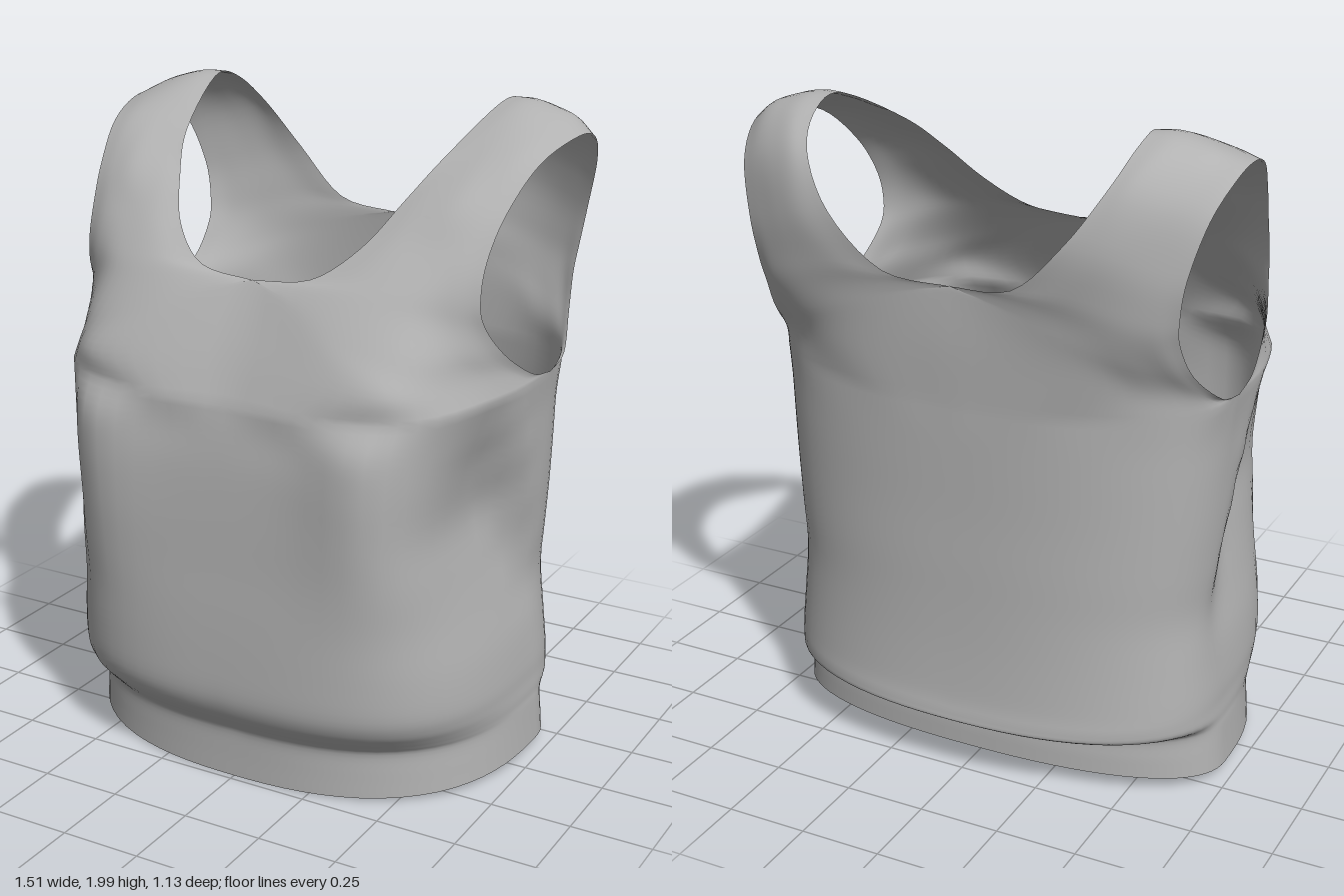
import * as THREE from 'three';
import { mergeGeometries, mergeVertices } from 'three/addons/utils/BufferGeometryUtils.js';

const M = 20; // columns per quarter of the garment
const V = (x, y, z) => new THREE.Vector3(x, y, z);
const spline = (pts) => new THREE.CatmullRomCurve3(pts, false, 'catmullrom', 0.5);

// Body rings: y front, y side, y back, half width, z front, z back, squareness front, back
const rings = [
  [0, 0.028, 0.055, 0.72, 0.48, -0.455, 2.6, 2.2],
  [0.08, 0.09, 0.11, 0.715, 0.48, -0.455, 2.6, 2.2],
  [0.15, 0.155, 0.165, 0.71, 0.483, -0.455, 2.6, 2.2],
  [0.18, 0.18, 0.178, 0.707, 0.5, -0.48, 2.7, 2.3],
  [0.21, 0.205, 0.195, 0.706, 0.525, -0.555, 2.8, 2.4],
  [0.25, 0.24, 0.22, 0.703, 0.55, -0.56, 3, 2.5],
  [0.31, 0.3, 0.28, 0.7, 0.565, -0.55, 3.2, 2.55],
  [0.42, 0.42, 0.42, 0.688, 0.565, -0.54, 3.4, 2.55],
  [0.56, 0.56, 0.56, 0.675, 0.56, -0.535, 3.6, 2.55],
  [0.7, 0.7, 0.7, 0.684, 0.552, -0.533, 3.8, 2.55],
  [0.85, 0.85, 0.85, 0.694, 0.545, -0.53, 3.8, 2.55],
  [1.0, 1.0, 1.0, 0.7, 0.535, -0.53, 3.7, 2.55],
  [1.11, 1.12, 1.11, 0.704, 0.521, -0.53, 3.5, 2.55],
  [1.19, 1.225, 1.2, 0.715, 0.505, -0.53, 3.4, 2.55],
];

// Point on a body ring; angle 0 is the front centre, PI the back centre
function ringPoint([yf, ys, yb, a, zf, zb, nf, nb], angle) {
  const s = Math.abs(Math.sin(angle)), c = Math.cos(angle), cz = -0.15;
  const n = c > 0 ? nf : nb;
  const r = Math.pow(Math.pow(s, n) + Math.pow(Math.abs(c), n), -1 / n);
  let x = a * s * r;
  let z = cz + (c > 0 ? zf - cz : cz - zb) * c * r;
  const y = ys + ((c > 0 ? yf : yb) - ys) * c * c;
  // chest fullness, fading down the front corners
  const rise = Math.min(0, y - 1.19) / 0.46;
  const full = 0.067 * Math.exp(-rise * rise - ((x - 0.47) / 0.17) ** 2);
  z += full * THREE.MathUtils.smoothstep(c, 0, 0.5);
  // slanting hollow fold under the arm
  const zc = 0.07 + (y - 0.95) * 0.45;
  x -= 0.105 * Math.exp(-(((y - 0.88) / 0.27) ** 2)) *
    THREE.MathUtils.smoothstep(z, zc - 0.16, zc + 0.06) * Math.pow(x / a, 6);
  return V(x, y, z);
}

// Shoulder rows, each from armhole edge to neck edge (or centre line)
const frontRows = [
  [.71, 1.25, -.03, .67, 1.28, .17, .555, 1.28, .42, .38, 1.29, .492, 0, 1.34, .437],
  [.688, 1.345, .125, .625, 1.36, .265, .51, 1.37, .405, .3, 1.41, .432, 0, 1.505, .352],
  [.66, 1.45, .21, .59, 1.46, .28, .47, 1.48, .355, .27, 1.51, .37, 0, 1.518, .34],
  [.655, 1.54, .22, .585, 1.55, .265, .48, 1.55, .31, .34, 1.56, .325, .18, 1.54, .325],
  [.66, 1.64, .185, .59, 1.65, .215, .5, 1.65, .235, .4, 1.65, .245, .3, 1.63, .25],
  [.68, 1.75, .11, .615, 1.76, .13, .54, 1.77, .14, .45, 1.77, .13, .375, 1.75, .135],
  [.715, 1.86, -.02, .65, 1.88, -.02, .58, 1.89, -.03, .51, 1.885, -.03, .435, 1.86, 0],
  [.75, 1.91, -.2, .68, 1.945, -.22, .61, 1.97, -.23, .55, 1.982, -.24, .49, 1.98, -.25],
];
const backRows = [
  [.75, 1.89, -.33, .69, 1.935, -.35, .62, 1.955, -.37, .56, 1.967, -.38, .495, 1.965, -.385],
  [.72, 1.8, -.435, .66, 1.83, -.46, .59, 1.85, -.485, .52, 1.87, -.5, .46, 1.87, -.5],
  [.68, 1.65, -.48, .62, 1.67, -.505, .54, 1.69, -.535, .46, 1.71, -.555, .36, 1.72, -.56],
  [.66, 1.53, -.475, .595, 1.545, -.51, .49, 1.56, -.54, .36, 1.58, -.556, .2, 1.572, -.548],
  [.655, 1.45, -.45, .59, 1.46, -.495, .47, 1.48, -.53, .28, 1.515, -.542, 0, 1.548, -.525],
  [.672, 1.345, -.385, .61, 1.37, -.445, .49, 1.4, -.505, .31, 1.45, -.535, 0, 1.535, -.527],
  [.71, 1.25, -.265, .65, 1.285, -.365, .53, 1.3, -.455, .34, 1.33, -.52, 0, 1.38, -.533],
];

// Surface through columns of points, sampled in equal steps; sign mirrors it
function sheet(columns, steps, sign) {
  const pos = [], idx = [], w = steps + 1;
  for (const col of columns) {
    const curve = spline(col);
    for (let i = 0; i <= steps; i++) {
      const p = curve.getPoint(i / steps);
      pos.push(sign * Math.max(0, p.x), p.y, p.z);
    }
  }
  for (let j = 0; j < columns.length - 1; j++) {
    for (let i = 0; i < steps; i++) {
      const a = j * w + i, b = a + w;
      if (sign > 0) idx.push(a, b, a + 1, b, b + 1, a + 1);
      else idx.push(a, a + 1, b, b, a + 1, b + 1);
    }
  }
  const g = new THREE.BufferGeometry();
  g.setAttribute('position', new THREE.Float32BufferAttribute(pos, 3));
  g.setIndex(idx);
  return g;
}

export function createModel() {
  const top = rings[rings.length - 1];
  const unpack = (r) => [12, 9, 6, 3, 0].map((k) => V(r[k], r[k + 1], r[k + 2]));
  const chest = [0, 1, 2, 3, 4].map((k) => ringPoint(top, k * Math.PI / 8));
  const upperBack = [0, 1, 2, 3, 4].map((k) => ringPoint(top, Math.PI - k * Math.PI / 8));
  upperBack[4].copy(chest[4]);

  // Shoulder columns run from the chest, over the shoulder, down the back
  const rows = [chest, ...frontRows.map(unpack), ...backRows.map(unpack), upperBack].map(spline);
  const yoke = [];
  for (let j = 0; j <= M; j++) yoke.push(rows.map((r) => r.getPoint(j / M)));

  // Body columns run from the hem up to the lower edge of the shoulder part
  const body = [];
  for (let j = 0; j <= 2 * M; j++) {
    const col = rings.slice(0, -1).map((r) => ringPoint(r, j / M * Math.PI / 2));
    const seam = j <= M ? yoke[j][0] : yoke[2 * M - j][rows.length - 1];
    body.push([...col, seam.clone()]);
  }

  // Both halves welded into one smooth cloth
  const parts = [];
  for (const sign of [1, -1]) {
    parts.push(sheet(body, (rings.length - 1) * 4, sign));
    parts.push(sheet(yoke, (rows.length - 1) * 5, sign));
  }
  const cloth = mergeVertices(mergeGeometries(parts), 1e-4);
  cloth.computeVertexNormals();

  const grey = new THREE.MeshStandardMaterial({ color: 0xb2b2b2, side: THREE.DoubleSide });
  grey.name = 'grey cloth';
  const mesh = new THREE.Mesh(cloth, grey);
  mesh.name = 'sleevelessTop';
  const group = new THREE.Group();
  group.name = 'garment';
  group.add(mesh);
  return group;
}
